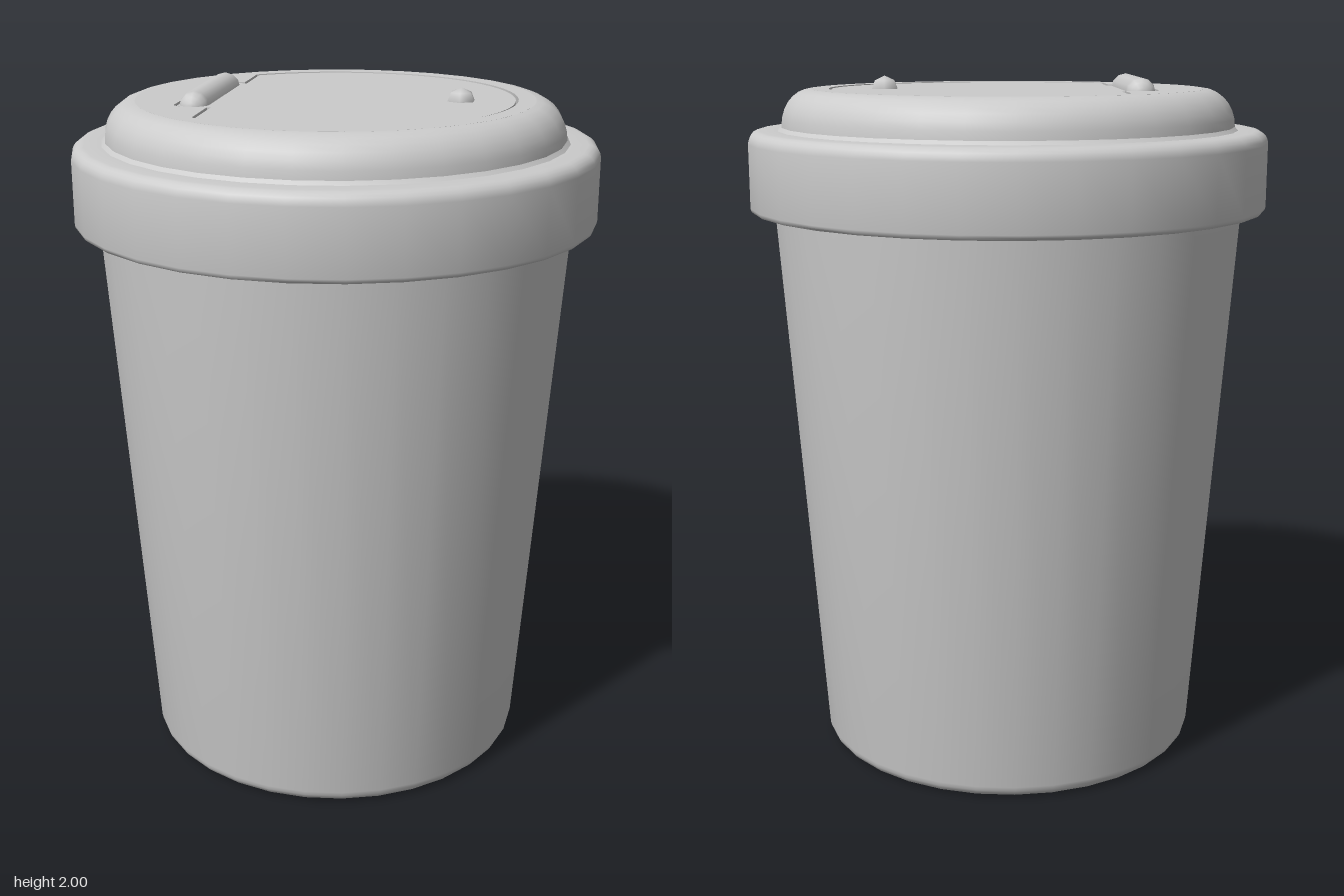
import * as THREE from 'three';
import { toCreasedNormals } from 'three/addons/utils/BufferGeometryUtils.js';

const SIDES = 32;
const TOP = 1.965;
const material = new THREE.MeshStandardMaterial({ color: 0xcccccc });

function part(name, geometry, x = 0, y = 0, z = 0) {
  const mesh = new THREE.Mesh(geometry, material);
  mesh.name = name;
  mesh.position.set(x, y, z);
  return mesh;
}

// Revolved profile, listed from the bottom axis outwards and up
function lathe(points) {
  const profile = points.map(([r, y]) => new THREE.Vector2(r, y));
  return toCreasedNormals(new THREE.LatheGeometry(profile, SIDES), 0.65);
}

// Quarter round from angle a to b (degrees) about (r, y)
function round(r, y, rx, ry, a, b, n = 5) {
  return Array.from({ length: n + 1 }, (_, i) => {
    const t = THREE.MathUtils.degToRad(a + ((b - a) * i) / n);
    return [r + rx * Math.cos(t), y + ry * Math.sin(t)];
  });
}

// Flap outline: a disc cut by a chord, with a hinge tab; inset shrinks it
function flapOutline(path, inset) {
  const r = 0.515 - inset;
  const chord = -0.315 + inset;
  const tabX = -0.415 + inset;
  const tabZ = 0.237 - inset;
  const c = 0.02;
  const a = Math.acos(chord / r);
  path.absarc(0, 0, r, -a, a, false);
  path.lineTo(chord, tabZ);
  path.lineTo(tabX + c, tabZ);
  path.lineTo(tabX, tabZ - c);
  path.lineTo(tabX, -tabZ + c);
  path.lineTo(tabX + c, -tabZ);
  path.lineTo(chord, -tabZ);
  path.closePath();
  return path;
}

// Horizontal plate with its underside at y = 0
function plate(shape, depth) {
  const g = new THREE.ExtrudeGeometry(shape, { depth, bevelEnabled: false, curveSegments: SIDES });
  return toCreasedNormals(g.rotateX(-Math.PI / 2), 0.5);
}

export function createModel() {
  const model = new THREE.Group();
  model.name = 'lidded cup';

  // Tapered cup with a rounded foot, running up inside the lid
  model.add(part('cup', lathe([
    [0, 0],
    ...round(0.528, 0.04, 0.038, 0.04, -90, -4),
    [0.68, 1.62],
    [0.692, 1.8],
    [0.66, 1.8],
    [0, 1.8],
  ])));

  // Lid: hollow skirt, rounded shoulder and dome
  model.add(part('lid', lathe([
    [0, 1.82],
    [0.712, 1.82],
    [0.712, 1.62],
    ...round(0.735, 1.635, 0.015, 0.015, -90, 0, 3),
    ...round(0.715, 1.815, 0.035, 0.035, 0, 90),
    [0.665, 1.85],
    ...round(0.565, 1.86, 0.09, TOP - 1.86, 0, 90, 7),
  ])));

  // Flat lid top with the opening for the flap
  const topShape = new THREE.Shape().absarc(0, 0, 0.565, 0, Math.PI * 2, false);
  topShape.holes.push(flapOutline(new THREE.Path(), 0));
  model.add(part('lidTop', plate(topShape, 0.035), 0, TOP - 0.035));

  // Floor under the narrow gap
  model.add(part('lidRecess', new THREE.CylinderGeometry(0.56, 0.56, 0.02, SIDES), 0, TOP - 0.04));

  // Drinking flap, its hinge barrel and its knob
  const flap = new THREE.Group();
  flap.name = 'flap';
  flap.add(part('flapPlate', plate(flapOutline(new THREE.Shape(), 0.008), 0.03), 0, TOP - 0.032));

  const barrel = new THREE.CapsuleGeometry(0.043, 0.374, 4, 12).rotateX(Math.PI / 2);
  flap.add(part('hinge', barrel, -0.363, 1.957));

  const knob = new THREE.SphereGeometry(0.045, 6, 4).rotateY(Math.PI / 6);
  flap.add(part('knob', knob, 0.355, 1.955));
  model.add(flap);

  return model;
}
